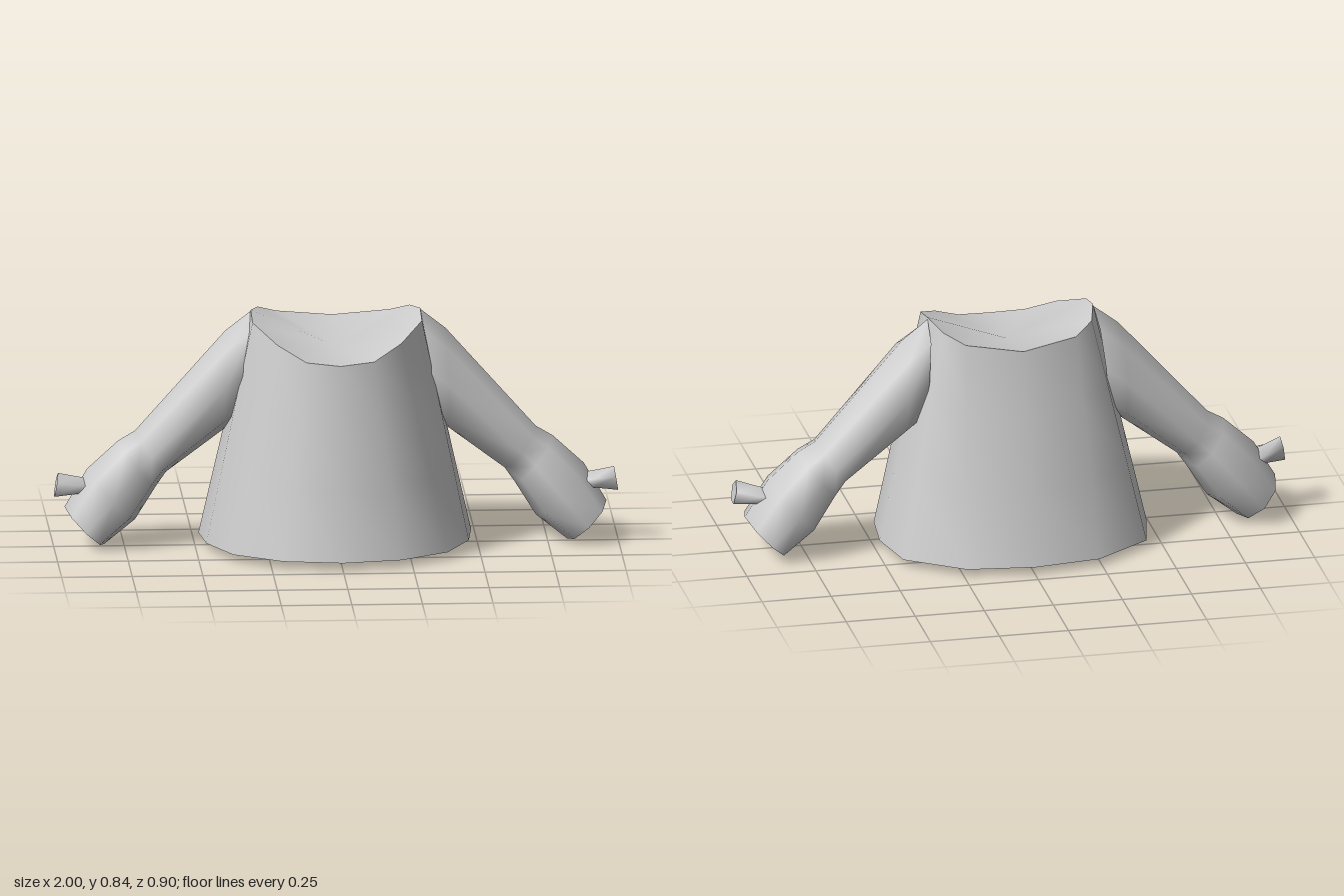
import * as THREE from 'three';

const material = new THREE.MeshStandardMaterial({ color: 0xcccccc, side: THREE.DoubleSide });

// Skin a surface through closed rings of equal point count
function loft(rings) {
  const n = rings[0].length, index = [];
  for (let j = 0; j < rings.length - 1; j++) {
    for (let i = 0; i < n; i++) {
      const a = j * n + i, b = j * n + (i + 1) % n;
      index.push(a, b, a + n, b, b + n, a + n);
    }
  }
  return build(rings.flat(), index);
}

// Close a ring with a fan around a centre point
function fan(ring, centre) {
  const n = ring.length, index = [];
  for (let i = 0; i < n; i++) index.push(i, (i + 1) % n, n);
  return build([...ring, centre], index);
}

function build(points, index) {
  const geometry = new THREE.BufferGeometry();
  geometry.setAttribute('position', new THREE.Float32BufferAttribute(points.flat(), 3));
  geometry.setIndex(index);
  geometry.computeVertexNormals();
  return geometry;
}

// Elliptical ring given by its top, its bottom and its z range
function ring([tx, ty, bx, by, z0, z1], sides, side) {
  const points = [];
  for (let i = 0; i < sides; i++) {
    const a = (i / sides) * Math.PI * 2, c = Math.cos(a) / 2, s = Math.sin(a) / 2;
    points.push([
      side * ((tx + bx) / 2 + (tx - bx) * c),
      (ty + by) / 2 + (ty - by) * c,
      (z0 + z1) / 2 + (z1 - z0) * s,
    ]);
  }
  return side > 0 ? points : points.reverse();
}

// Complete a half outline (front to back) with its mirror image
const mirrorOutline = (half) =>
  [...half, ...half.slice(1, -1).reverse().map(([x, y, z]) => [-x, y, z])];

export function createModel() {
  const model = new THREE.Group();
  model.name = 'jacket';
  const add = (name, geometry, parent = model) => {
    const mesh = new THREE.Mesh(geometry, material);
    mesh.name = name;
    parent.add(mesh);
  };

  // Flared body, open at the hem
  const hem = mirrorOutline([
    [0, 0.03, 0.45], [0.21, 0.03, 0.41], [0.38, 0.03, 0.29], [0.465, 0.03, 0.1],
    [0.483, 0.03, -0.08], [0.44, 0.03, -0.28], [0.24, 0.03, -0.42], [0, 0.03, -0.45],
  ]);
  const neck = mirrorOutline([
    [0, 0.71, 0.3], [0.12, 0.72, 0.28], [0.22, 0.77, 0.21], [0.3, 0.823, 0.08],
    [0.3, 0.845, -0.03], [0.27, 0.83, -0.15], [0.2, 0.8, -0.215], [0, 0.775, -0.255],
  ]);
  const between = (t) => hem.map((p, i) => p.map((v, k) => v + (neck[i][k] - v) * t));
  add('body', loft([hem, between(0.35), between(0.7), neck]));

  // Sunken surface closing the neck
  add('neckInset', fan(neck, [0, 0.72, 0.02]));

  // Sleeves: top x, top y, bottom x, bottom y, back z, front z
  const sleeve = [
    [0.3, 0.84, 0.34, 0.45, -0.165, 0.09],
    [0.39, 0.77, 0.4, 0.41, -0.183, 0.107],
    [0.71, 0.41, 0.6, 0.26, -0.155, 0.07],
    [0.77, 0.375, 0.635, 0.21, -0.17, 0.09],
    [0.88, 0.275, 0.71, 0.09, -0.195, 0.12],
    [0.96, 0.14, 0.82, 0.003, -0.175, 0.115],
  ];
  const thumb = [
    [0.86, 0.24, 0.87, 0.18, -0.09, 0.02],
    [0.91, 0.25, 0.91, 0.19, -0.08, 0.035],
    [0.985, 0.27, 1, 0.18, -0.035, 0.04],
  ];
  for (const side of [1, -1]) {
    const arm = new THREE.Group();
    arm.name = side > 0 ? 'leftArm' : 'rightArm';
    model.add(arm);
    const rings = sleeve.map((r) => ring(r, 8, side));
    add('sleeve', loft(rings), arm);
    add('sleeveEnd', fan(rings.at(-1), [side * 0.89, 0.075, -0.02]), arm);

    // Small thumb on the outside of the sleeve
    const tip = thumb.map((r) => ring(r, 5, side));
    add('thumb', loft(tip), arm);
    add('thumbEnd', fan(tip.at(-1), [side * 0.985, 0.225, 0.005]), arm);
  }
  return model;
}
